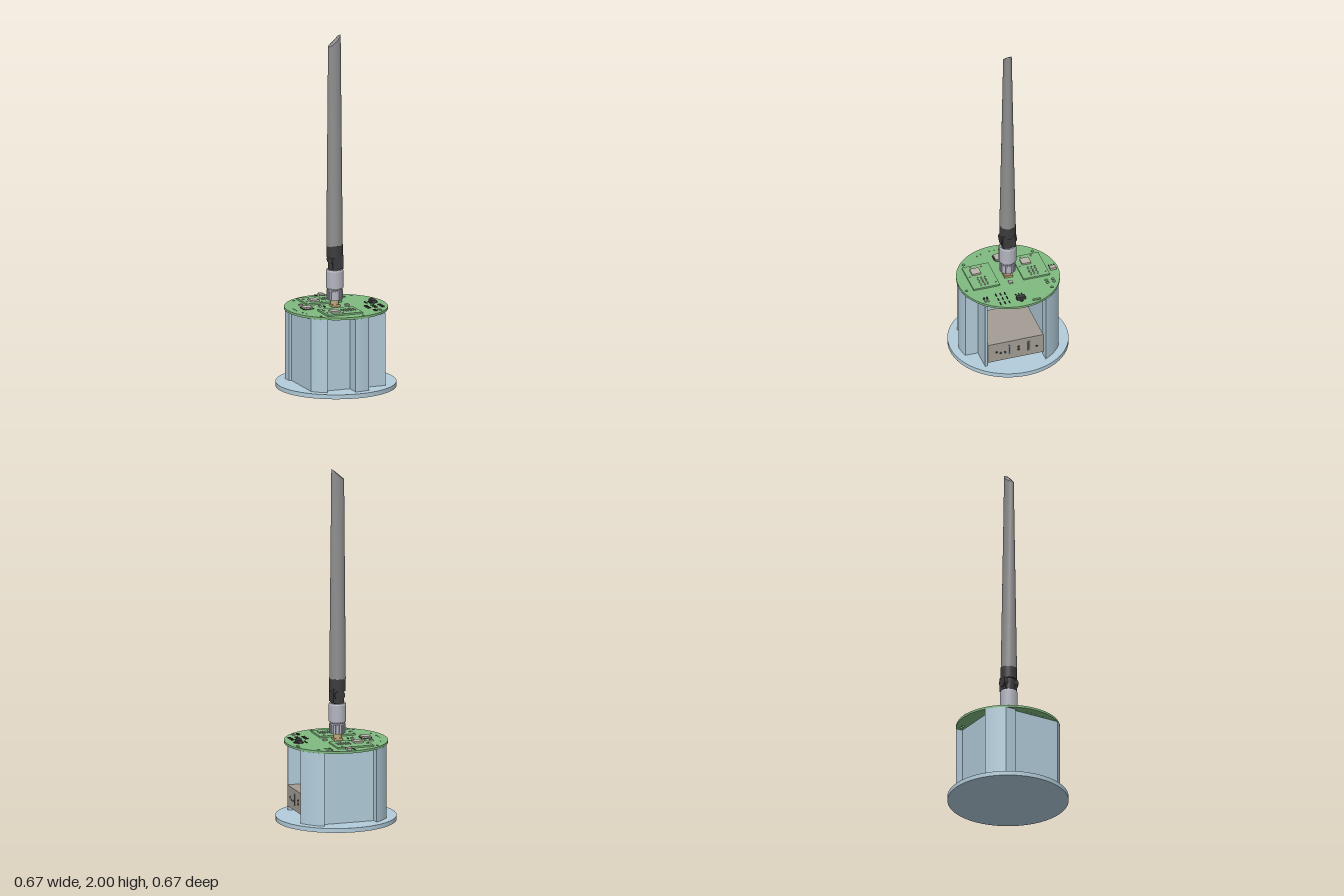
import * as THREE from 'three';

const mat = (color) => new THREE.MeshStandardMaterial({ color });
const BLUE = mat(0xb3cddb), GREEN = mat(0x80ba80), TAN = mat(0xa39d94), CHIP = mat(0xbab5ab);
const DARK = mat(0x3c3c3e), GREY = mat(0x8e8e8e), STEEL = mat(0xb4b4c0), GOLD = mat(0xc0a878);

export function createModel() {
  const model = new THREE.Group();

  const add = (name, geometry, material, x = 0, y = 0, z = 0, parent = model) => {
    const mesh = new THREE.Mesh(geometry, material);
    mesh.name = name;
    mesh.position.set(x, y, z);
    parent.add(mesh);
    return mesh;
  };
  const group = (name) => {
    const g = new THREE.Group();
    g.name = name;
    model.add(g);
    return g;
  };
  // Box standing on height y
  const box = (name, material, x, y, z, w, h, d, parent) =>
    add(name, new THREE.BoxGeometry(w, h, d), material, x, y + h / 2, z, parent);
  const cyl = (name, material, r0, r1, y0, y1, sides = 32, x = 0, z = 0, parent = model) =>
    add(name, new THREE.CylinderGeometry(r1, r0, y1 - y0, sides), material, x, (y0 + y1) / 2, z, parent);
  // Plan shape (x, z) raised from y0 to y1
  const plan = (name, material, shape, y0, y1) => {
    const g = new THREE.ExtrudeGeometry(shape, { depth: y1 - y0, bevelEnabled: false, curveSegments: 48 });
    g.rotateX(-Math.PI / 2);
    return add(name, g, material, 0, y0, 0);
  };
  const arc = (a0, a1, r = 0.29, n = 8) => Array.from({ length: n + 1 }, (_, i) => {
    const a = THREE.MathUtils.degToRad(a0 + ((a1 - a0) * i) / n);
    return [r * Math.cos(a), r * Math.sin(a)];
  });

  // Round foot
  cyl('baseFlange', BLUE, 0.337, 0.337, 0, 0.025, 72);

  // Hollow housing: flat walls, corner screw bosses, open towards +x
  const outline = [
    [0.215, 0.19], [0.215, 0.205], [0.085, 0.205],
    ...arc(73, 90), [0, 0.205], [-0.15, 0.205],
    ...arc(121.5, 141), [-0.225, -0.1], [-0.24, -0.1],
    ...arc(214, 238), [-0.15, -0.205], [0.15, -0.205],
    ...arc(302, 332), [0.205, -0.135], [0.15, -0.19],
    [-0.21, -0.19], [-0.21, 0.19],
  ];
  const housing = new THREE.Shape(outline.map(([x, z]) => new THREE.Vector2(x, -z)));
  plan('housing', BLUE, housing, 0.025, 0.44);

  // Main circuit board with screw and cable holes
  const board = new THREE.Shape();
  board.absarc(0, 0, 0.289, 0, Math.PI * 2);
  const holes = [
    [-0.173, -0.2, 0.008], [0.173, -0.2, 0.008], [-0.173, 0.203, 0.008], [0.057, 0.262, 0.008],
    [0.103, -0.228, 0.009], [0.126, -0.228, 0.009], [0.103, -0.19, 0.009], [0.126, -0.19, 0.009],
    [-0.247, -0.027, 0.004], [-0.247, 0, 0.004], [-0.247, 0.027, 0.004], [-0.234, -0.091, 0.004],
    [-0.222, -0.115, 0.004], [-0.234, 0.083, 0.004], [-0.222, 0.108, 0.004],
  ];
  for (const [x, z, r] of holes) {
    const hole = new THREE.Path();
    hole.absarc(x, -z, r, 0, Math.PI * 2, true);
    board.holes.push(hole);
  }
  const slot = new THREE.Path();
  slot.moveTo(0.245, 0.062).lineTo(0.245, 0.107).lineTo(0.259, 0.107).lineTo(0.259, 0.062).closePath();
  board.holes.push(slot);
  plan('circuitBoard', GREEN, board, 0.44, 0.453);

  // Two radio daughter boards with chip and small parts
  const top = 0.453;
  for (const [cx, cz] of [[-0.04, -0.147], [-0.035, 0.147]]) {
    const g = group('radioModule');
    box('moduleBoard', GREEN, cx, top, cz, 0.21, 0.009, 0.154, g);
    box('moduleChip', CHIP, cx - 0.042, top + 0.009, cz + 0.019, 0.052, 0.01, 0.052, g);
    for (let i = 0; i < 18; i++) {
      box('moduleComponent', i % 3 ? CHIP : GREY, cx + 0.012 + (i % 6) * 0.014, top + 0.009,
        cz - 0.018 + Math.floor(i / 6) * 0.02 + (i % 2) * 0.004, 0.004, 0.004, 0.007, g);
    }
    for (const [dx, dz] of [[-0.09, -0.028], [-0.083, -0.028], [-0.09, 0.033], [0.075, -0.062], [-0.01, 0.062]]) {
      box('moduleComponent', CHIP, cx + dx, top + 0.009, cz + dz, 0.005, 0.004, 0.008, g);
    }
  }

  // Chips and loose components on the main board
  const parts = group('boardComponents');
  const chips = [
    [-0.172, -0.003, 0.052, 0.012, 0.052, CHIP], [0.014, -0.257, 0.028, 0.014, 0.034, CHIP],
    [0.063, 0.005, 0.022, 0.008, 0.022, CHIP], [-0.178, -0.083, 0.02, 0.008, 0.02, CHIP],
    [-0.092, -0.012, 0.012, 0.01, 0.02, CHIP], [0.22, -0.002, 0.026, 0.018, 0.05, DARK],
    [0.24, -0.001, 0.014, 0.006, 0.018, DARK], [0.16, 0.176, 0.014, 0.007, 0.009, DARK],
    [0.16, 0.194, 0.014, 0.007, 0.009, DARK], [0.187, 0.177, 0.014, 0.007, 0.009, CHIP],
    [0.187, 0.194, 0.014, 0.007, 0.009, CHIP],
  ];
  for (const [x, z, w, h, d, m] of chips) box('chip', m, x, top, z, w, h, d, parts);
  for (let i = 0; i < 9; i++) {
    box('resistor', DARK, 0.15 + (i % 3) * 0.041, top, 0.068 + Math.floor(i / 3) * 0.026, 0.019, 0.006, 0.005, parts);
  }
  for (let i = 0; i < 8; i++) {
    const t = -0.024 + i * 0.0062 - 0.0007;
    for (const s of [-1, 1]) {
      box('chipPin', DARK, -0.172 + s * 0.029, top, t, 0.006, 0.004, 0.003, parts);
      box('chipPin', DARK, -0.172 + t, top, -0.003 + s * 0.029, 0.003, 0.004, 0.006, parts);
    }
  }
  for (let i = 0; i < 3; i++) {
    box('transistorPin', DARK, 0.203, top, -0.018 + i * 0.017, 0.012, 0.005, 0.006, parts);
    box('capacitor', DARK, -0.017, top, -0.272 + i * 0.015, 0.006, 0.006, 0.005, parts);
    box('capacitor', DARK, 0.18, top, -0.02 + i * 0.017, 0.006, 0.006, 0.005, parts);
    box('capacitor', DARK, -0.07, top, -0.008 + i * 0.008, 0.006, 0.006, 0.004, parts);
  }

  // Power unit behind the opening, with sockets on its face
  box('powerUnit', TAN, 0.065, 0.05, 0.028, 0.31, 0.12, 0.324);
  for (const z of [0.065, -0.05]) {
    box('socket', GREY, 0.221, 0.08, z, 0.004, 0.064, 0.016);
    box('socketSlot', DARK, 0.2225, 0.088, z, 0.003, 0.048, 0.006);
  }
  for (const [y, z] of [[0.11, 0.14], [0.1, 0.115], [0.1, 0.09], [0.12, 0.01], [0.1, 0.01], [0.1, -0.095]]) {
    const hole = cyl('screwHole', DARK, 0.007, 0.007, 0, 0.003, 12, 0.221, z);
    hole.position.y = y;
    hole.rotation.z = Math.PI / 2;
  }

  // Antenna connector: gold socket, solder pins, knurled nut, sleeve
  const cx = -0.008;
  box('connectorFoot', GOLD, cx, top, 0, 0.05, 0.012, 0.05);
  cyl('connectorThread', GOLD, 0.022, 0.022, 0.46, 0.5, 24, cx);
  for (const x of [-1, 1]) for (const z of [-1, 1]) cyl('solderPin', GOLD, 0.005, 0.005, 0.425, 0.445, 8, cx + x * 0.018, z * 0.018);
  cyl('nutCore', STEEL, 0.042, 0.042, 0.492, 0.552, 32, cx);
  for (let i = 0; i < 20; i++) {
    const a = (i / 20) * Math.PI * 2;
    const rib = box('nutRib', STEEL, cx + 0.042 * Math.cos(a), 0.495, 0.042 * Math.sin(a), 0.007, 0.05, 0.007);
    rib.rotation.y = -a;
  }
  const sleeve = [[0, 0.552], [0.042, 0.552], [0.049, 0.562], [0.049, 0.655], [0.045, 0.665], [0, 0.665]];
  add('sleeve', new THREE.LatheGeometry(sleeve.map(([r, y]) => new THREE.Vector2(r, y)), 40).toNonIndexed(), STEEL, cx)
    .geometry.computeVertexNormals();

  // Dark swivel joint with its pivot
  cyl('swivelLower', DARK, 0.036, 0.036, 0.66, 0.75, 32, cx);
  box('swivelFork', DARK, cx + 0.006, 0.67, 0, 0.062, 0.08, 0.076);
  cyl('swivelUpper', DARK, 0.046, 0.046, 0.735, 0.805, 40, cx);
  const pivot = cyl('swivelPivot', DARK, 0.03, 0.03, 0, 0.09, 24, cx);
  pivot.position.y = 0.715;
  pivot.rotation.x = Math.PI / 2;

  // Tapering oval blade with a slanted, rounded tip
  const blade = new THREE.CylinderGeometry(1, 1, 1, 48, 24);
  const p = blade.attributes.position;
  for (let i = 0; i < p.count; i++) {
    const t = p.getY(i) + 0.5;
    const x = -0.009 - 0.001 * t + p.getX(i) * (0.046 - 0.009 * t);
    const z = p.getZ(i) * (0.045 - 0.023 * t);
    const tip = 2.0 - 0.06 * THREE.MathUtils.clamp((0.02 - x) / 0.065, 0, 1) - 18 * z * z * t;
    p.setXYZ(i, x, 0.8 + t * (tip - 0.8), z);
  }
  blade.computeVertexNormals();
  add('antennaBlade', blade, GREY);

  return model;
}
